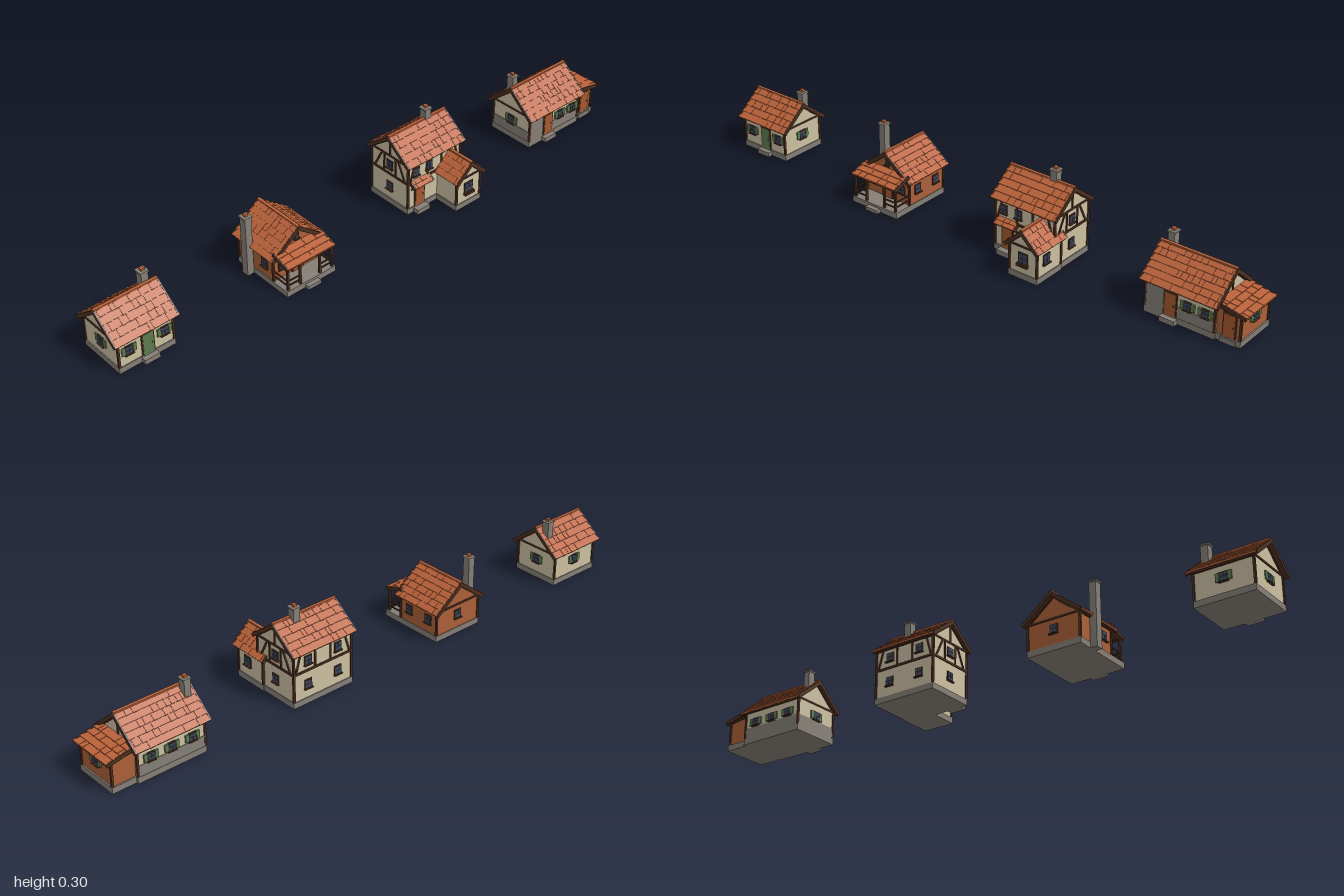
import * as THREE from 'three';

const mat = (name, color) => Object.assign(new THREE.MeshStandardMaterial({ color }), { name });
const M = {
  tile: mat('roof tile', 0xba623a), brick: mat('brick', 0xab5f38), timber: mat('dark timber', 0x4c2f1f),
  plaster: mat('plaster', 0xcbbfa1), stone: mat('stone', 0x857e76), green: mat('green paint', 0x5c7c4e),
  glass: mat('window glass', 0x3a4864), wood: mat('door wood', 0xa4592f),
};
const HALF = Math.PI / 2;
const ZC = -0.042; // shared centre line of the main buildings

let seed = 7;
const rand = () => (seed = (seed * 16807) % 2147483647) / 2147483647;

function box(parent, name, m, w, h, d, x, y, z) {
  const mesh = new THREE.Mesh(new THREE.BoxGeometry(w, h, d), m);
  mesh.name = name;
  mesh.position.set(x, y, z);
  parent.add(mesh);
  return mesh;
}

function group(parent, name, x = 0, y = 0, z = 0, ry = 0) {
  const g = new THREE.Group();
  g.name = name;
  g.position.set(x, y, z);
  g.rotation.y = ry;
  if (parent) parent.add(g);
  return g;
}

// straight square timber between two points
function beam(parent, a, b, w = 0.007) {
  const p = new THREE.Vector3(...a), q = new THREE.Vector3(...b);
  const dir = q.clone().sub(p);
  const mesh = box(parent, 'timberBeam', M.timber, w, dir.length(), w, 0, 0, 0);
  mesh.position.copy(p).add(q).multiplyScalar(0.5);
  mesh.quaternion.setFromUnitVectors(new THREE.Vector3(0, 1, 0), dir.normalize());
}

// one tiled roof plane, running down local +z from its upper edge
function slope(parent, width, run, drop, x, y, z, ry = 0) {
  const g = group(parent, 'roofSlope', x, y, z);
  const S = Math.hypot(run, drop), n = Math.max(2, Math.round(S / 0.024)), step = S / n;
  g.rotation.set(Math.atan2(drop, run), ry, 0, 'YXZ');
  box(g, 'roofDeck', M.timber, width - 0.004, 0.005, S - 0.002, 0, -0.009, S / 2);
  for (let i = 0; i < n; i++) {
    const row = group(g, 'tileCourse', 0, -0.0035, (i + 0.5) * step);
    row.rotation.x = -0.09;
    box(row, 'tiles', M.tile, width - 0.006, 0.006, step + 0.002, 0, 0, 0);
    // a few tiles sit slightly proud of the course
    for (let k = 0; k < width / 0.04; k++)
      box(row, 'raisedTile', M.tile, 0.012, 0.006, step, (rand() - 0.5) * (width - 0.03), 0.0012, 0.002);
  }
  for (const s of [-1, 1])
    box(g, 'bargeBoard', M.timber, 0.006, 0.012, S, s * (width / 2 - 0.003), -0.006, S / 2);
}

// gabled roof with its ridge along local x
function gableRoof(g, halfLen, run, ridge, eave) {
  for (const ry of [0, Math.PI]) slope(g, halfLen * 2, run, ridge - eave, 0, ridge, 0, ry);
  box(g, 'ridgeCap', M.tile, halfLen * 2 - 0.004, 0.005, 0.01, 0, ridge - 0.001, 0);
}

// gabled building: footing, pentagonal walls, corner posts, roof
function building(parent, name, o) {
  const g = group(parent, name, o.x, 0, o.z, o.ry || 0);
  const { L, D, ridge, eave, run, roofL, wall } = o;
  const tan = (ridge - eave) / run, peak = ridge - 0.013, top = peak - D * tan;
  const s = new THREE.Shape([[-D, 0.02], [D, 0.02], [D, top], [0, peak], [-D, top]].map(p => new THREE.Vector2(...p)));
  const geo = new THREE.ExtrudeGeometry(s, { depth: L * 2, bevelEnabled: false }).translate(0, 0, -L).rotateY(HALF);
  const walls = new THREE.Mesh(geo, wall);
  walls.name = 'walls';
  g.add(walls);
  box(g, 'footing', M.stone, L * 2 + 0.006, 0.02, D * 2 + 0.006, 0, 0.01, 0);
  for (const x of [-L, L]) {
    for (const z of [-D, D]) beam(g, [x, 0.02, z], [x, top, z]);
    beam(g, [x, top, -D], [x, top, D], 0.006);
    for (const z of [-D, D]) beam(g, [x, top - 0.002, z], [x, peak - 0.002, 0], 0.006);
  }
  for (const z of [-D, D]) beam(g, [-L, top - 0.003, z], [L, top - 0.003, z], 0.006);
  gableRoof(g, roofL, run, ridge, eave);
  return g;
}

// window facing local +z, optionally with shutters
function windowAt(parent, x, y, z, ry, shutters = false, w = 0.028, h = 0.03) {
  const g = group(parent, 'window', x, y, z, ry);
  box(g, 'windowFrame', M.timber, w, h, 0.006, 0, 0, 0);
  for (const sx of [-1, 1]) {
    for (const sy of [-1, 1])
      box(g, 'pane', M.glass, w / 2 - 0.004, h / 2 - 0.004, 0.008, sx * (w / 4 - 0.001), sy * (h / 4 - 0.001), 0);
    if (shutters) box(g, 'shutter', M.green, 0.011, h - 0.003, 0.006, sx * (w / 2 + 0.006), 0, 0.001);
  }
  box(g, 'sill', M.timber, w + 0.004, 0.003, 0.012, 0, -h / 2 - 0.001, 0.002);
}

// door facing +z with a stone step
function door(parent, x, z, m, stepZ, w = 0.036) {
  const g = group(parent, 'door', x, 0, z);
  box(g, 'doorFrame', M.timber, w + 0.008, 0.079, 0.006, 0, 0.0595, 0);
  box(g, 'doorLeaf', m, w, 0.074, 0.009, 0, 0.057, 0);
  box(g, 'doorHandle', M.timber, 0.003, 0.004, 0.003, w * 0.35, 0.055, 0.005);
  box(g, 'step', M.stone, w + 0.016, 0.016, stepZ - z, 0, 0.008, (stepZ - z) / 2);
}

function chimney(parent, x, z, y0, top, w = 0.024) {
  const g = group(parent, 'chimney', x, 0, z);
  box(g, 'stack', M.stone, w, top - 0.012 - y0, 0.026, 0, (top - 0.012 + y0) / 2, 0);
  box(g, 'chimneyCap', M.stone, w + 0.006, 0.005, 0.031, 0, top - 0.0105, 0);
  box(g, 'chimneyPot', M.tile, 0.012, 0.009, 0.012, 0, top - 0.0045, 0);
}

// plain cottage with a green door
function cottage(root) {
  const g = group(root, 'smallCottage');
  building(g, 'cottageBody', { x: -0.889, z: ZC, L: 0.094, D: 0.082, ridge: 0.188, eave: 0.11, run: 0.098, roofL: 0.111, wall: M.plaster });
  door(g, -0.884, 0.04, M.green, 0.06);
  for (const x of [-0.948, -0.826]) windowAt(g, x, 0.07, 0.04, 0, true, 0.027, 0.03);
  windowAt(g, -0.889, 0.07, -0.124, Math.PI, true);
  windowAt(g, -0.795, 0.07, ZC, HALF, true);
  windowAt(g, -0.983, 0.07, ZC, -HALF, true);
  chimney(g, -0.811, -0.069, 0.13, 0.222);
}

// brick cabin with front porch and a tall outside chimney
function cabin(root) {
  const g = group(root, 'brickCabin'), cx = -0.332;
  building(g, 'cabinBody', { x: cx, z: -0.047, L: 0.081, D: 0.091, ridge: 0.187, eave: 0.105, run: 0.106, roofL: 0.097, wall: M.brick, ry: -HALF });
  box(g, 'porchFloor', M.stone, 0.188, 0.02, 0.07, cx, 0.01, 0.066);
  slope(g, 0.187, 0.068, 0.022, cx, 0.127, 0.037);
  for (const dx of [-0.085, -0.038, 0.038, 0.085]) beam(g, [cx + dx, 0.02, 0.094], [cx + dx, 0.1, 0.094]);
  beam(g, [cx - 0.088, 0.099, 0.094], [cx + 0.088, 0.099, 0.094]);
  for (const s of [-1, 1]) {
    for (const y of [0.035, 0.052]) {
      beam(g, [cx + s * 0.038, y, 0.094], [cx + s * 0.085, y, 0.094], 0.004);
      beam(g, [cx + s * 0.085, y, 0.035], [cx + s * 0.085, y, 0.094], 0.004);
    }
    windowAt(g, cx + s * 0.058, 0.068, 0.034, 0);
  }
  box(g, 'porchStep', M.stone, 0.05, 0.012, 0.02, cx, 0.006, 0.107);
  door(g, cx, 0.034, M.wood, 0.05);
  windowAt(g, cx, 0.145, 0.034, 0, false, 0.018, 0.018);
  windowAt(g, cx, 0.07, -0.128, Math.PI);
  for (const z of [-0.09, -0.005]) windowAt(g, cx + 0.091, 0.068, z, HALF);
  windowAt(g, cx - 0.091, 0.068, -0.005, -HALF);
  chimney(g, -0.438, -0.069, 0, 0.222);
}

// two-storey half-timbered house with a front wing
function townHouse(root) {
  const g = group(root, 'timberedHouse'), cx = 0.229, L = 0.112, D = 0.083;
  building(g, 'mainBody', { x: cx, z: ZC, L, D, ridge: 0.259, eave: 0.184, run: 0.098, roofL: 0.124, wall: M.plaster });
  building(g, 'frontWing', { x: 0.294, z: 0.072, L: 0.058, D: 0.051, ridge: 0.171, eave: 0.111, run: 0.065, roofL: 0.073, wall: M.plaster, ry: -HALF });
  const y0 = 0.114, y1 = 0.182;
  for (const s of [-1, 1]) {
    // long walls
    const z = ZC + s * D, ex = cx + s * L;
    beam(g, [cx - L, y0, z], [cx + L, y0, z]);
    for (const t of [-1, 1]) {
      beam(g, [cx + t * 0.03, y0, z], [cx + t * 0.03, y1, z], 0.006);
      beam(g, [cx + t * 0.105, y0, z], [cx + t * 0.085, y1, z], 0.006);
      // gable walls
      beam(g, [ex, y0, ZC + t * 0.026], [ex, y1, ZC + t * 0.026], 0.006);
      beam(g, [ex, y0, ZC + t * 0.07], [ex, y1, ZC + t * 0.036], 0.006);
    }
    beam(g, [ex, y0, ZC - D], [ex, y0, ZC + D]);
    beam(g, [ex, y1, ZC], [ex, 0.245, ZC], 0.006);
    windowAt(g, ex, 0.15, ZC, s * HALF);
    windowAt(g, ex, 0.068, ZC, s * HALF);
    for (const y of [0.068, 0.15]) windowAt(g, cx + s * 0.058, y, ZC - D, Math.PI);
  }
  for (const x of [0.15, 0.205]) windowAt(g, x, 0.15, ZC + D, 0, false, 0.026);
  windowAt(g, 0.294, 0.072, 0.13, 0, false, 0.036, 0.036);
  box(g, 'flowerBox', M.timber, 0.04, 0.008, 0.012, 0.294, 0.049, 0.135);
  windowAt(g, 0.345, 0.072, 0.086, HALF, false, 0.032, 0.033);
  door(g, 0.165, 0.041, M.wood, 0.066);
  slope(g, 0.082, 0.026, 0.016, 0.166, 0.122, 0.04);
  for (const x of [0.132, 0.2]) beam(g, [x, 0.088, 0.042], [x, 0.105, 0.059], 0.005);
  chimney(g, 0.273, -0.049, 0.21, 0.3);
}

// long cottage with stone dado and a lean-to brick annex
function longHouse(root) {
  const g = group(root, 'longCottage'), cx = 0.786, L = 0.116, D = 0.083;
  building(g, 'longBody', { x: cx, z: ZC, L, D, ridge: 0.198, eave: 0.112, run: 0.101, roofL: 0.131, wall: M.plaster });
  box(g, 'stoneDado', M.stone, L * 2 + 0.004, 0.036, D * 2 + 0.004, cx, 0.038, ZC);
  box(g, 'stonePanel', M.stone, 0.06, 0.085, 0.006, 0.702, 0.0625, ZC + D);
  beam(g, [cx + L, 0.11, ZC], [cx + L, 0.18, ZC], 0.006);
  door(g, 0.756, 0.042, M.wood, 0.061);
  for (const x of [0.813, 0.872]) windowAt(g, x, 0.073, 0.043, 0, true, 0.025, 0.027);
  for (const x of [0.715, 0.786, 0.857]) windowAt(g, x, 0.073, ZC - D - 0.001, Math.PI, true, 0.026, 0.027);
  windowAt(g, cx - L - 0.001, 0.073, ZC, -HALF, true);
  chimney(g, 0.686, -0.064, 0.14, 0.236, 0.022);

  const a = group(g, 'brickAnnex');
  box(a, 'annexFooting', M.stone, 0.085, 0.02, 0.156, 0.943, 0.01, ZC);
  box(a, 'annexWalls', M.brick, 0.082, 0.082, 0.146, 0.94, 0.061, ZC);
  for (const s of [-1, 1]) {
    const z = ZC + s * 0.073;
    beam(a, [0.981, 0.02, z], [0.981, 0.103, z]);
    beam(a, [0.9, 0.108, z], [0.981, 0.099, z]);
  }
  beam(a, [0.981, 0.1, ZC - 0.075], [0.981, 0.1, ZC + 0.075], 0.008);
  slope(a, 0.166, 0.095, 0.019, 0.905, 0.125, ZC, HALF);
  door(a, 0.945, 0.031, M.wood, 0.04);
  windowAt(a, 0.981, 0.072, ZC, HALF, true, 0.03, 0.027);
}

export function createModel() {
  const root = group(null, 'villageHouses');
  [cottage, cabin, townHouse, longHouse].forEach(build => build(root));
  return root;
}
